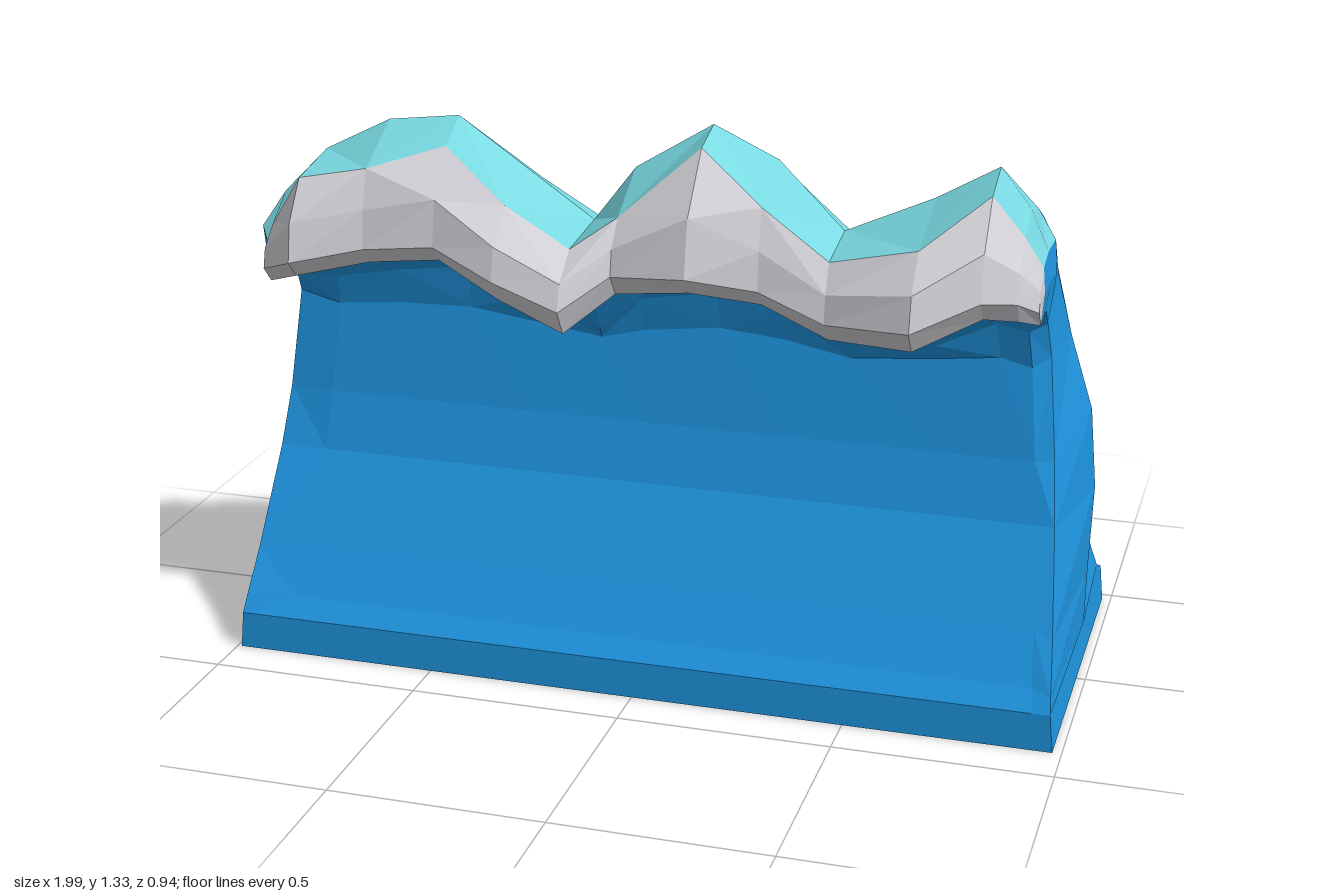
import * as THREE from 'three';

const mats = {
  water: new THREE.MeshStandardMaterial({ color: 0x1e94df, flatShading: true, side: THREE.DoubleSide }),
  crest: new THREE.MeshStandardMaterial({ color: 0x79d9e2, flatShading: true, side: THREE.DoubleSide }),
  foam: new THREE.MeshStandardMaterial({ color: 0xd5d5db, flatShading: true, side: THREE.DoubleSide }),
};
for (const name in mats) mats[name].name = name;

// Stations along the wave: x, crest top, crest rear edge y, foam top y, z, foam nose y, z, foam bottom y
const stations = [
  [-0.9, 1.1, 0.97, 1.04, 0.28, 0.95, 0.34, 0.91],
  [-0.79, 1.21, 1.06, 1.18, 0.36, 1.0, 0.44, 0.96],
  [-0.63, 1.29, 1.13, 1.21, 0.35, 1.03, 0.385, 0.99],
  [-0.46, 1.31, 1.15, 1.26, 0.29, 1.05, 0.39, 1.01],
  [-0.3, 1.2, 1.07, 1.15, 0.35, 1.0, 0.45, 0.95],
  [-0.14, 1.09, 1.0, 1.07, 0.38, 0.95, 0.47, 0.89],
  [-0.04, 1.22, 1.08, 1.14, 0.34, 1.02, 0.4, 0.97],
  [0.14, 1.33, 1.18, 1.3, 0.3, 1.04, 0.44, 1.0],
  [0.29, 1.26, 1.11, 1.19, 0.35, 1.01, 0.385, 0.97],
  [0.44, 1.11, 1.01, 1.08, 0.35, 0.95, 0.39, 0.905],
  [0.64, 1.2, 1.09, 1.13, 0.38, 0.97, 0.465, 0.92],
  [0.78, 1.28, 1.15, 1.24, 0.3, 1.03, 0.4, 0.985],
  [0.85, 1.19, 1.12, 1.15, 0.28, 1.02, 0.35, 0.97],
  [0.89, 1.1, 1.09, 1.08, 0.26, 0.99, 0.3, 0.95],
];

let seed = 11;
const jitter = (a) => {
  seed = (seed * 16807) % 2147483647;
  return (seed / 2147483647 - 0.5) * 2 * a;
};
const mix = (a, b, t) => a + (b - a) * t;

// Cross-section at one station: front and back columns, paired from the base up
function section([x, top, rear, fy, fz, ny, nz, by], index) {
  const low = 1.33 - top;
  const end = index === 0 || index === stations.length - 1;
  const ceil = Math.min(0.27, nz - 0.08);
  const e = end ? 1 : 0;
  const front = [
    [0.39, 0], [0.39, 0.09],
    end ? [0.372, 0.125] : [0.357, 0.135], end ? [0.31, 0.23] : [0.298, 0.25],
    [0.2, 0.46], [0.17 - e * 0.015, 0.6],
    [0.145 - e * 0.022, 0.84 - low * 0.2 + e * 0.04], [0.165 - e * 0.015, by - 0.07 + e * 0.04],
    [0.2 - e * 0.01, by - 0.01 + e * 0.02],
    [ceil, by + 0.01], [nz - 0.038, by], [nz, ny],
  ];
  // The rear slope sinks a little under the low parts of the crest
  const back = [
    [-0.475, 0], [-0.475, 0.09], [-0.41, 0.12],
    [-0.365 + e * 0.015, 0.28], [-0.32 + e * 0.04, 0.47],
    [end ? -0.19 : -0.25 + low * 0.1, 0.72], [end ? -0.12 : -0.15 + low * 0.13, 0.95 - low * 0.4],
    [index === 0 ? -0.09 : 0, rear], [0.09, mix(rear, top, 0.6)],
    [0.2, top], [fz, fy], [mix(nz, fz, 0.2), mix(ny, fy, 0.5)],
  ];
  // The body flares outward from crest to base
  const place = ([z, y]) => new THREE.Vector3(x * mix(1.1, 1, Math.min(1, y / 0.92)), y, z);
  const F = front.map(place);
  const B = back.map(place);
  // Rounded rear corners at the ends, uneven slope in between
  for (let i = 3; i < 8; i++) {
    const a = i === 7 ? 0.01 : 0.02;
    if (end) B[i].x *= index === 0 && i === 7 ? 0.93 : 0.972;
    else if (Math.abs(x) < 0.8) B[i].add(new THREE.Vector3(jitter(0.025), jitter(a), jitter(a * 0.6)));
  }
  return { F, B };
}

export function createModel() {
  const group = new THREE.Group();
  group.name = 'wave';
  const points = { water: [], crest: [], foam: [] };
  const tri = (c, ...v) => v.forEach((p) => points[c].push(p.x, p.y, p.z));
  const quad = (c, a, b, d, e, flip) => {
    if (flip) { tri(c, a, b, e); tri(c, b, d, e); } else { tri(c, a, b, d); tri(c, a, d, e); }
  };
  const rows = stations.map(section);
  const N = rows[0].F.length - 1;

  // Front face, curled underside, back slope, crest and foam
  for (let s = 0; s < rows.length - 1; s++) {
    const p = rows[s], q = rows[s + 1];
    for (let i = 0; i < N; i++) {
      const flip = (s + i) % 2 === 0;
      quad(i < 9 ? 'water' : 'foam', p.F[i], q.F[i], q.F[i + 1], p.F[i + 1], flip);
      quad(i < 7 ? 'water' : i < 10 ? 'crest' : 'foam', q.B[i], p.B[i], p.B[i + 1], q.B[i + 1], flip);
    }
    quad('foam', p.F[N], q.F[N], q.B[N], p.B[N]);
    quad('water', p.F[0], p.B[0], q.B[0], q.F[0]);
  }

  // Bulging ends; the crest hangs over the right one
  const bulge = [0, 0, 0.015, 0.045, 0.07, 0.075, 0.04, 0.02, 0.012, 0.01, 0.005, 0];
  for (const side of [-1, 1]) {
    const { F, B } = rows[side < 0 ? 0 : rows.length - 1];
    const M = F.map((f, i) => {
      const m = f.clone().lerp(B[i], 0.55);
      m.x += side * (bulge[i] + (side < 0 && i > 6 && i < 10 ? 0.04 : 0));
      return m;
    });
    const face = (c, a, b, d, e) => (side > 0 ? quad(c, a, b, d, e) : quad(c, b, a, e, d));
    for (let i = 0; i < N; i++) {
      const tip = i === N - 1;
      const upper = side < 0 && i >= 7 ? 'crest' : 'water';
      face(tip ? 'foam' : 'water', F[i], M[i], M[i + 1], F[i + 1]);
      face(tip ? 'foam' : upper, M[i], B[i], B[i + 1], M[i + 1]);
    }
  }

  const names = { water: 'waveBody', crest: 'waveCrest', foam: 'foamLip' };
  for (const key in points) {
    const geo = new THREE.BufferGeometry();
    geo.setAttribute('position', new THREE.Float32BufferAttribute(points[key], 3));
    geo.computeVertexNormals();
    const mesh = new THREE.Mesh(geo, mats[key]);
    mesh.name = names[key];
    group.add(mesh);
  }
  return group;
}
